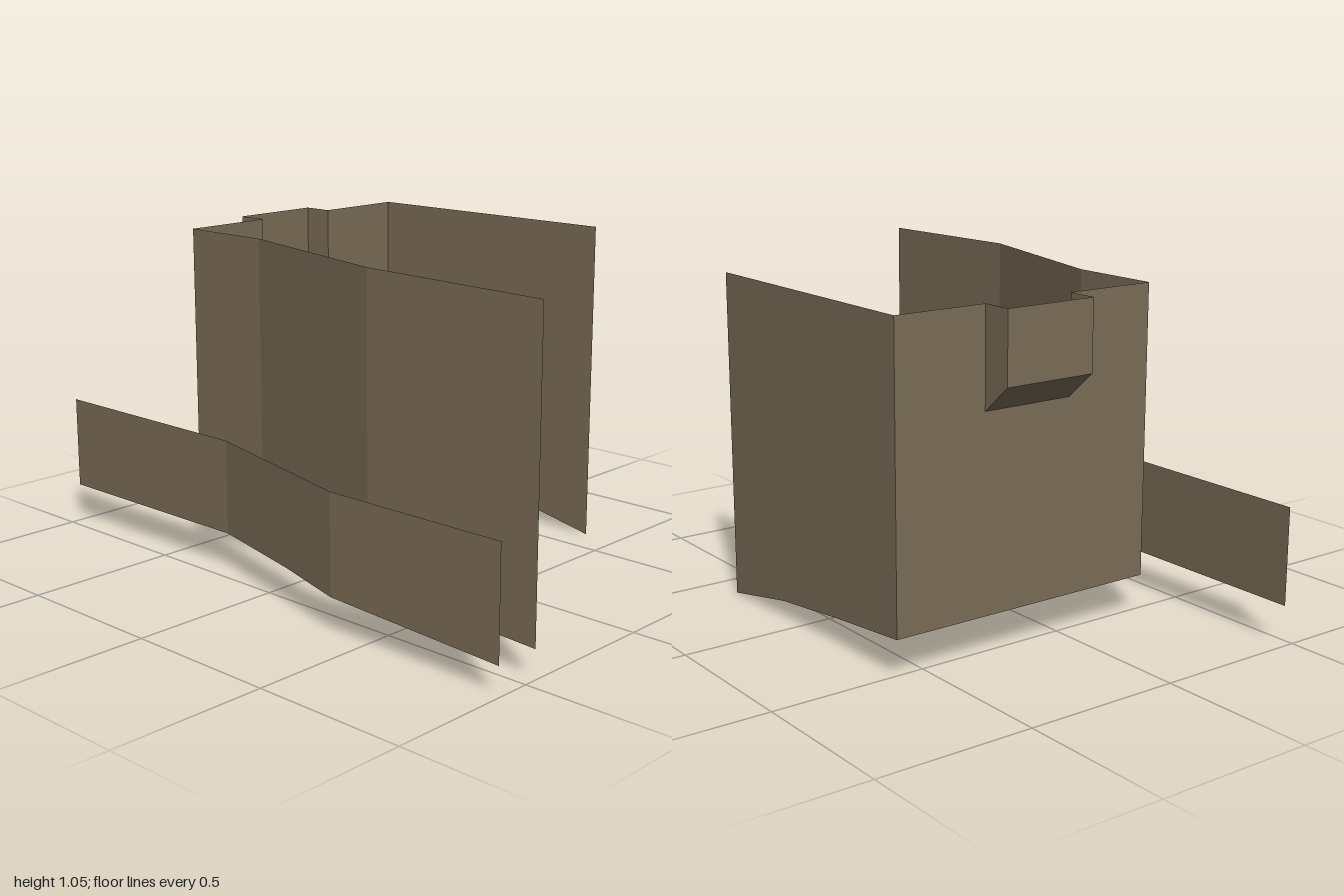
import * as THREE from 'three';

const timber = new THREE.MeshStandardMaterial({ color: 0x7b6c56, side: THREE.DoubleSide });
timber.name = 'weathered brown';

function addMesh(parent, name, geometry) {
  const mesh = new THREE.Mesh(geometry, timber);
  mesh.name = name;
  parent.add(mesh);
}

// Flat-faced sheet between a lower and an upper line of [x, y, z] points
function ribbon(lower, upper) {
  const pos = [];
  for (let i = 0; i < lower.length - 1; i++) {
    const [a, b, c, d] = [lower[i], lower[i + 1], upper[i + 1], upper[i]];
    pos.push(...a, ...b, ...c, ...a, ...c, ...d);
  }
  const g = new THREE.BufferGeometry();
  g.setAttribute('position', new THREE.Float32BufferAttribute(pos, 3));
  g.computeVertexNormals();
  return g;
}

// Upright sheet along a plan of [x, z, bottom, top] stations
const wall = plan => ribbon(
  plan.map(([x, z, bottom]) => [x, bottom, z]),
  plan.map(([x, z, , top]) => [x, top, z]),
);

const shapeOf = pts => new THREE.Shape(pts.map(p => new THREE.Vector2(...p)));

export function createModel() {
  const model = new THREE.Group();
  model.name = 'walls';
  const X = -0.54, OUT = -0.64, TOP = 1.05, BASE = 0.128, BACK = -0.615;
  const N0 = -0.307, N1 = 0.002; // notch limits in z

  // Two parallel front walls, jogging forward in the middle
  const jog = (x0, z, top, endTop) => wall([
    [x0, z, BASE, top],
    [-0.23, z, BASE, top],
    [0.13, z + 0.091, BASE, top],
    [0.38, z + 0.154, 0.118, top],
    [1, z + 0.154, 0.09, endTop],
  ]);
  addMesh(model, 'lowFrontWall', jog(-1, 0.461, 0.433, 0.433));
  addMesh(model, 'tallFrontWall', jog(X, 0.307, TOP, 1.04));

  // Back wall with a sagging lower edge
  addMesh(model, 'backWall', wall([
    [X, BACK, BASE, TOP], [-0.23, BACK, 0.097, TOP],
    [0.08, BACK, 0.06, TOP], [0.38, BACK, 0, TOP],
  ]));

  // Side wall with a notch in its top edge, drawn in z and y
  const side = new THREE.ShapeGeometry(shapeOf([
    [BACK, BASE], [0.307, BASE], [0.307, TOP], [N1, TOP],
    [N1, 0.742], [N0, 0.742], [N0, TOP], [BACK, TOP],
  ]));
  side.rotateY(-Math.PI / 2).translate(X, 0, 0);
  addMesh(model, 'sideWall', side);

  // Open projecting bay outside the notch
  const bay = new THREE.Group();
  bay.name = 'projectingBay';
  addMesh(bay, 'bayFace', wall([[OUT, N0, 0.828, TOP], [OUT, N1, 0.828, TOP]]));
  addMesh(bay, 'baySlope', ribbon(
    [[X, 0.742, N0], [X, 0.742, N1]], [[OUT, 0.828, N0], [OUT, 0.828, N1]],
  ));
  for (const z of [N0, N1]) {
    const cheek = new THREE.ShapeGeometry(shapeOf([
      [X, 0.742], [X, TOP], [OUT, TOP], [OUT, 0.828],
    ]));
    addMesh(bay, 'bayCheek', cheek.translate(0, 0, z));
  }
  model.add(bay);
  return model;
}
